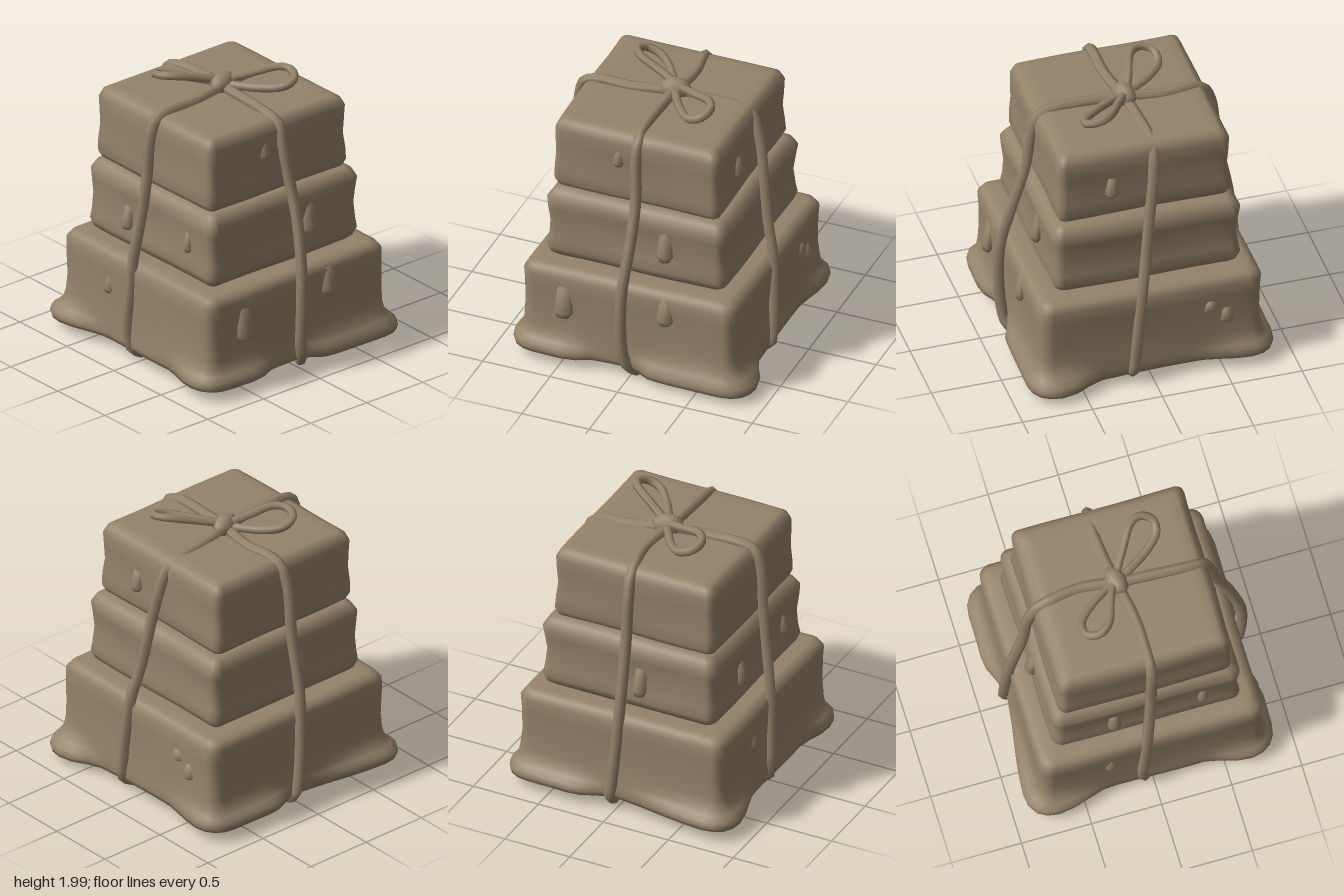
import * as THREE from 'three';

const clay = new THREE.MeshStandardMaterial({ color: 0x94836a });
clay.name = 'taupe clay';

const smooth = (v, a, b) => THREE.MathUtils.smoothstep(v, a, b);

// Melted spread of each hem corner: size and start/end along x, then along z
const spread = {
  '1,1': { dx: 0.115, z0: 0.35, z1: 0.6, dz: 0.07, x0: 0.04, x1: 0.15 },
  '-1,1': { dx: 0.075, z0: 0.35, z1: 0.6, dz: 0.075, x0: 0.22, x1: 0.42 },
  '-1,-1': { dx: 0.09, z0: 0.3, z1: 0.62, dz: 0.095, x0: -0.1, x1: 0.65 },
  '1,-1': { dx: 0.065, z0: 0.32, z1: 0.62, dz: 0.09, x0: 0.05, x1: 0.33 },
};

// Rounded-rectangle outline with subdivided sides
function outline(hx, hz, r) {
  const corners = [[1, 1], [-1, 1], [-1, -1], [1, -1]];
  const arcs = corners.map(([sx, sz], k) => [0, 1, 2, 3, 4].map(t => {
    const a = (k + t / 4) * Math.PI / 2;
    return [sx * (hx - r) + r * Math.cos(a), sz * (hz - r) + r * Math.sin(a)];
  }));
  const pts = [];
  arcs.forEach((arc, k) => {
    pts.push(...arc);
    const p = arc[4], q = arcs[(k + 1) % 4][0];
    for (let i = 1; i < 14; i++) pts.push([p[0] + (q[0] - p[0]) * i / 14, p[1] + (q[1] - p[1]) * i / 14]);
  });
  return pts;
}

// Stacked block: profile rows are [y, inset, flare], from top to bottom
function tier(name, cx, cz, hx, hz, radius, profile, wobble) {
  const pos = [], idx = [];
  let n = 0;
  for (const [y, inset, flare = 0] of profile) {
    const pts = outline(hx - inset, hz - inset, Math.max(0.03, radius - inset * 0.5 + flare * 0.09));
    n = pts.length;
    for (const [x, z] of pts) {
      const w = wobble * Math.sin(x * 7 + y * 5) * Math.sin(z * 6 - y * 9 + 1);
      const s = spread[`${x < 0 ? -1 : 1},${z < 0 ? -1 : 1}`];
      const ax = Math.abs(x), az = Math.abs(z);
      const dx = Math.sign(x) * flare * s.dx * smooth(az, s.z0, s.z1) * smooth(ax, 0.3, 0.75);
      const dz = Math.sign(z) * flare * s.dz * smooth(ax, s.x0, s.x1) * smooth(az, 0.3, 0.75);
      const sag = flare * 0.025 * smooth(x, 0, 0.3) * smooth(z, -0.2, 0.6);
      pos.push(cx + x * (1 + w) + dx, y - sag, cz + z * (1 + w) + dz);
    }
  }
  const rows = profile.length;
  for (let i = 0; i < rows - 1; i++) for (let j = 0; j < n; j++) {
    const k = (j + 1) % n, a = i * n + j, b = i * n + k;
    idx.push(a, b, a + n, b, b + n, a + n);
  }
  // Close the top and the underside
  const top = pos.length / 3;
  pos.push(cx, profile[0][0], cz, cx, profile[rows - 1][0], cz);
  for (let j = 0; j < n; j++) {
    const k = (j + 1) % n, base = (rows - 1) * n;
    idx.push(top, k, j, top + 1, base + j, base + k);
  }
  const g = new THREE.BufferGeometry();
  g.setAttribute('position', new THREE.Float32BufferAttribute(pos, 3));
  g.setIndex(idx);
  g.computeVertexNormals();
  const m = new THREE.Mesh(g, clay);
  m.name = name;
  return m;
}

// Six-sided cord through a few points, with blunt ends
function cord(name, points, radius, segments) {
  const group = new THREE.Group();
  group.name = name;
  const v = points.map(p => new THREE.Vector3(...p));
  const curve = new THREE.CatmullRomCurve3(v, false, 'centripetal');
  group.add(new THREE.Mesh(new THREE.TubeGeometry(curve, segments, radius, 6), clay));
  for (const p of [v[0], v[v.length - 1]]) {
    const end = new THREE.Mesh(new THREE.SphereGeometry(radius * 0.95, 6, 4), clay);
    end.position.copy(p);
    group.add(end);
  }
  return group;
}

// Hanging drip, flush at the square top and swollen below
function drip(x, y, z, turn, w, h) {
  const profile = [[0, -0.5], [0.6, -0.48], [1, -0.3], [0.85, 0], [0.75, 0.46], [0, 0.5]];
  const g = new THREE.LatheGeometry(profile.map(p => new THREE.Vector2(...p)), 8);
  g.scale(w / 2, h, 0.045);
  g.rotateX(-0.16);
  const m = new THREE.Mesh(g, clay);
  m.name = 'drip';
  m.position.set(x, y, z);
  m.rotation.y = turn;
  return m;
}

export function createModel() {
  const model = new THREE.Group();
  model.name = 'tiedStack';

  // Three stacked blocks
  model.add(
    tier('bottomBlock', -0.015, 0, 0.795, 0.8, 0.09, [
      [0.74, 0.16], [0.74, 0.08], [0.725, 0.035], [0.68, 0.005], [0.58, 0.008], [0.4, 0.012], [0.28, 0.004],
      [0.215, 0, 0.15], [0.18, -0.003, 0.5], [0.15, -0.005, 0.9], [0.115, -0.005, 1], [0.085, 0, 0.97],
      [0.085, 0.06, 0.9], [0.1, 0.25], [0.11, 0.5]], 0.006),
    tier('middleBlock', -0.015, -0.005, 0.67, 0.67, 0.07, [
      [1.29, 0.16], [1.29, 0.08], [1.27, 0.035], [1.21, 0], [1.14, 0.008], [1.02, 0.022], [0.9, 0.012],
      [0.83, 0.0], [0.78, 0.02], [0.745, 0.06], [0.735, 0.14]], 0.008),
    tier('topBlock', -0.035, -0.005, 0.618, 0.618, 0.06, [
      [1.835, 0.14], [1.835, 0.07], [1.815, 0.03], [1.76, 0.003], [1.65, 0.006], [1.55, 0.012], [1.44, 0.003],
      [1.35, 0.0], [1.31, 0.02], [1.285, 0.06], [1.28, 0.14]], 0.009));

  // Cords running down each side and tucking under
  model.add(
    cord('frontCord', [[-0.01, 1.85, -0.02], [-0.03, 1.83, 0.5], [-0.02, 1.79, 0.585], [-0.02, 1.66, 0.63],
      [0, 1.4, 0.675], [0, 1.1, 0.765], [-0.03, 0.75, 0.845], [-0.04, 0.5, 0.855], [-0.03, 0.2, 0.835],
      [0, 0.1, 0.81], [0.035, 0.043, 0.75]], 0.04, 44),
    cord('backCord', [[0, 1.85, -0.04], [0.03, 1.835, -0.3], [0, 1.83, -0.52], [-0.01, 1.79, -0.6],
      [-0.02, 1.66, -0.66], [-0.02, 1.3, -0.7], [-0.02, 0.85, -0.785], [0, 0.5, -0.815], [0.03, 0.18, -0.825],
      [0.045, 0.1, -0.815], [0.045, 0.045, -0.75]], 0.04, 44),
    cord('rightCord', [[0, 1.85, -0.03], [-0.3, 1.84, 0.02], [-0.57, 1.84, 0.025], [-0.65, 1.805, 0.025],
      [-0.69, 1.69, 0.02], [-0.71, 1.4, 0.01], [-0.745, 1.1, -0.01], [-0.79, 0.78, -0.04], [-0.805, 0.5, -0.06],
      [-0.81, 0.2, -0.08], [-0.79, 0.09, -0.06], [-0.71, 0.045, -0.03]], 0.04, 44),
    cord('leftCord', [[0, 1.85, -0.03], [0.2, 1.825, -0.06], [0.48, 1.8, -0.08], [0.56, 1.76, -0.07],
      [0.62, 1.58, -0.05], [0.665, 1.3, -0.01], [0.71, 1, 0.03], [0.765, 0.75, 0.07], [0.785, 0.5, 0.1],
      [0.79, 0.2, 0.13], [0.78, 0.1, 0.14], [0.7, 0.045, 0.13]], 0.04, 44));

  // Bow loops and knot
  model.add(
    cord('rightBowLoop', [[0, 1.89, -0.05], [-0.15, 1.93, -0.11], [-0.32, 1.967, -0.175], [-0.375, 1.96, -0.26],
      [-0.345, 1.935, -0.34], [-0.25, 1.9, -0.35], [-0.15, 1.88, -0.27], [-0.02, 1.87, -0.08]], 0.03, 28),
    cord('leftBowLoop', [[0.02, 1.89, -0.03], [0.18, 1.93, 0.07], [0.34, 1.967, 0.175], [0.375, 1.96, 0.25],
      [0.335, 1.93, 0.33], [0.25, 1.9, 0.33], [0.14, 1.88, 0.22], [0.01, 1.87, 0.01]], 0.03, 28));
  const knot = new THREE.Mesh(new THREE.SphereGeometry(1, 8, 6), clay);
  knot.name = 'knot';
  knot.scale.set(0.115, 0.08, 0.075);
  knot.position.set(0, 1.87, -0.03);
  knot.rotation.y = 0.25;
  model.add(knot);

  // Drips: x, y, z, turn, width, height
  const R = Math.PI / 2;
  [[-0.16, 1.65, 0.585, 0, 0.09, 0.16], [0.205, 1.045, 0.645, 0, 0.125, 0.26],
    [-0.49, 0.495, 0.785, 0, 0.15, 0.25], [0.26, 0.595, 0.78, 0, 0.13, 0.21],
    [0.565, 1.535, 0.23, R, 0.1, 0.16], [0.75, 0.515, -0.415, R, 0.12, 0.09], [0.75, 0.43, -0.53, R, 0.11, 0.12],
    [-0.11, 0.98, -0.66, Math.PI, 0.11, 0.22], [-0.665, 0.98, -0.24, -R, 0.1, 0.18],
    [-0.655, 1.02, 0.39, -R, 0.08, 0.15], [-0.775, 0.5, -0.3, -R, 0.1, 0.16],
  ].forEach(d => model.add(drip(...d)));

  return model;
}
